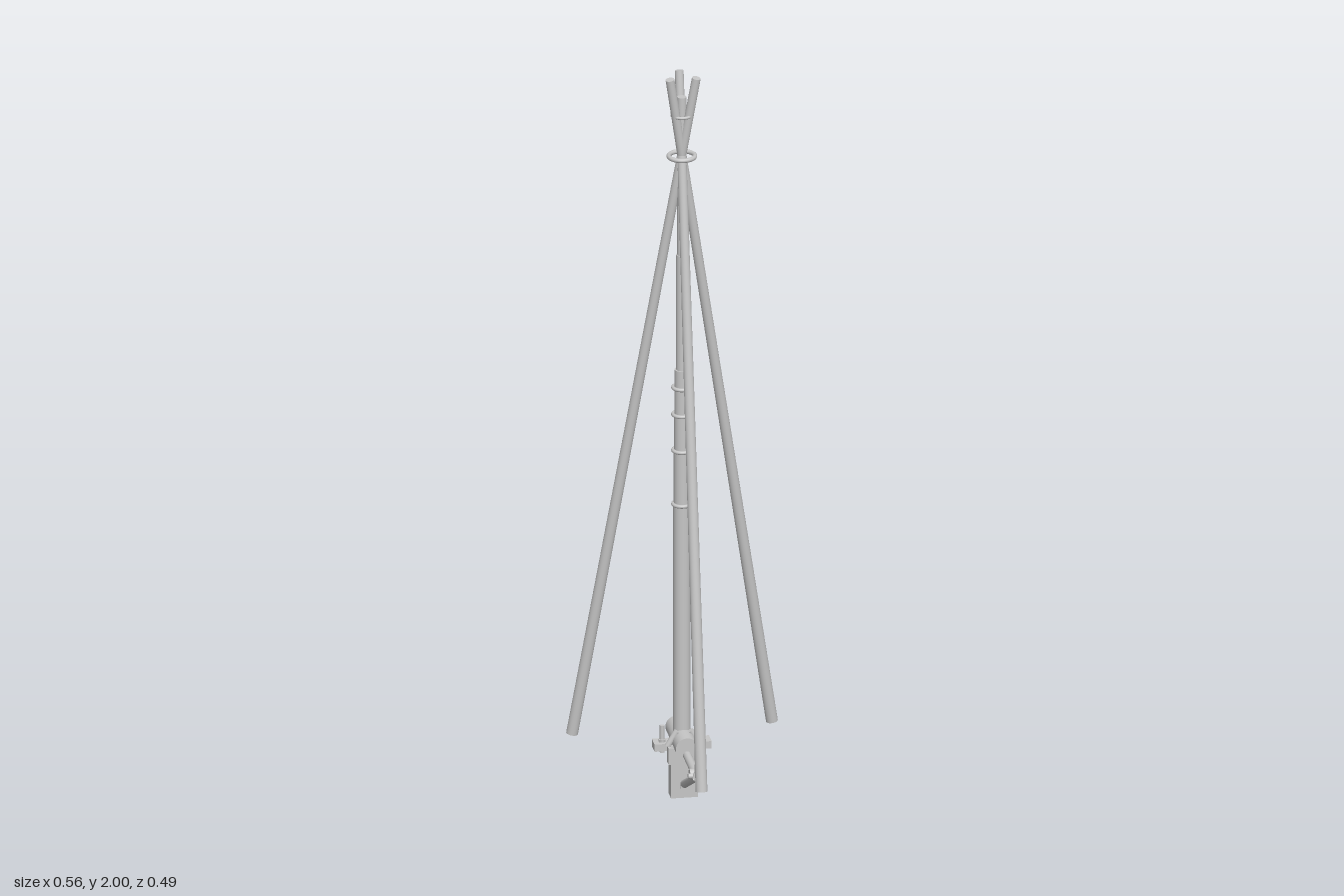
import * as THREE from 'three';

export function createModel() {
  const model = new THREE.Group();
  const metal = new THREE.MeshStandardMaterial({ color: 0xc6c6c6 });
  metal.name = 'grey metal';
  const CZ = -0.077; // mast axis

  const add = (name, geometry, x = 0, y = 0, z = 0) => {
    const mesh = new THREE.Mesh(geometry, metal);
    mesh.name = name;
    mesh.position.set(x, y, z);
    model.add(mesh);
    return mesh;
  };
  const box = (name, w, h, d, x, y, z) => add(name, new THREE.BoxGeometry(w, h, d), x, y, z);
  // Round bar between two points, with its own radius at each end
  const bar = (name, from, to, r0, r1 = r0, sides = 20) => {
    const a = new THREE.Vector3(...from), b = new THREE.Vector3(...to);
    const dir = b.clone().sub(a);
    const mesh = add(name, new THREE.CylinderGeometry(r1, r0, dir.length(), sides));
    mesh.position.copy(a).add(b).multiplyScalar(0.5);
    mesh.quaternion.setFromUnitVectors(new THREE.Vector3(0, 1, 0), dir.normalize());
    return mesh;
  };
  const ring = (name, y, radius, tube) => {
    add(name, new THREE.TorusGeometry(radius, tube, 10, 32), 0, y, CZ).rotation.x = Math.PI / 2;
  };

  // Three tent legs crossing near the top
  for (let i = 0; i < 3; i++) {
    const a = i * Math.PI * 2 / 3;
    const s = Math.sin(a), c = Math.cos(a);
    bar('leg', [s * 0.303, 0.122, CZ + c * 0.303], [-s * 0.04, 1.998, CZ - c * 0.04], 0.0155, 0.0115);
  }

  // Telescoping mast: [bottom, top, radius]
  const sections = [
    [0.13, 0.805, 0.0225], [0.805, 0.955, 0.021], [0.955, 1.055, 0.02],
    [1.055, 1.18, 0.019], [1.18, 1.5, 0.015], [1.5, 1.94, 0.012],
  ];
  for (const [y0, y1, r] of sections) bar('mastSection', [0, y0, CZ], [0, y1, CZ], r, r, 28);
  for (const y of [0.805, 0.955, 1.055, 1.13]) ring('mastCollar', y, 0.023, 0.005);
  box('mastStrip', 0.01, 0.16, 0.006, 0, 0.57, CZ - 0.022);

  // Rings holding the legs together
  ring('lashingRing', 1.775, 0.034, 0.006);
  ring('upperRing', 1.89, 0.026, 0.004);

  // Base block, clamp plate and horizontal drum
  box('baseBlock', 0.07, 0.145, 0.04, 0, 0.0725, -0.057);
  box('clampPlate', 0.15, 0.02, 0.042, 0, 0.135, -0.078);
  box('clampBracket', 0.086, 0.045, 0.022, 0, 0.12, -0.04);
  bar('drum', [0, 0.152, -0.005 - 0.1], [0, 0.152, 0.005], 0.03, 0.03, 28);
  bar('drumEnd', [0, 0.152, -0.16], [0, 0.152, -0.105], 0.029, 0.029, 28);
  bar('rearPin', [0, 0.03, -0.085], [0, 0.03, -0.03], 0.011);
  for (const side of [-1, 1]) {
    bar('clampBolt', [side * 0.052, 0.115, CZ], [side * 0.052, 0.19, CZ], 0.006);
    bar('boltNut', [side * 0.052, 0.143, CZ], [side * 0.052, 0.152, CZ], 0.01, 0.01, 6);
    bar('clampLug', [side * 0.042, 0.142, -0.05], [side * 0.018, 0.182, -0.05], 0.008);
  }

  // Folding support arm and its hinge
  bar('horizontalStrut', [0, 0.135, -0.02], [0, 0.135, 0.16], 0.011);
  bar('diagonalStrut', [0, 0.022, -0.07], [0, 0.13, 0.145], 0.011);
  bar('hingePin', [-0.022, 0.135, 0.148], [0.022, 0.135, 0.148], 0.007);
  bar('hingeKnuckle', [-0.016, 0.135, 0.135], [0.016, 0.135, 0.135], 0.014);
  bar('hingeStud', [0, 0.12, 0.155], [0, 0.17, 0.155], 0.006);

  return model;
}
